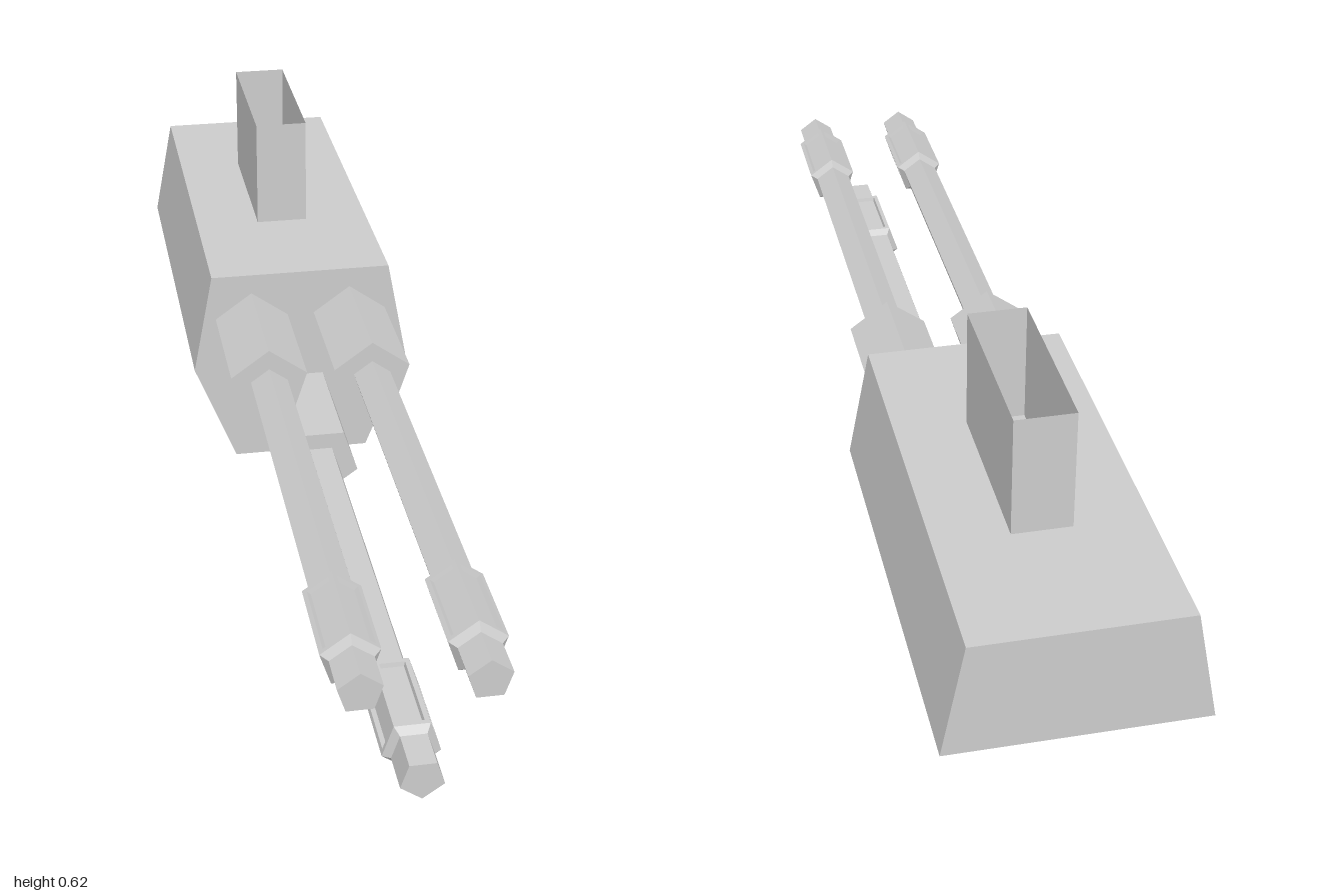
import * as THREE from 'three';
import { ConvexGeometry } from 'three/addons/geometries/ConvexGeometry.js';

const material = new THREE.MeshStandardMaterial({ color: 0xcccccc, flatShading: true });
const openMaterial = new THREE.MeshStandardMaterial({ color: 0xcccccc, flatShading: true, side: THREE.DoubleSide });

function part(name, geometry, mat = material) {
  const mesh = new THREE.Mesh(geometry, mat);
  mesh.name = name;
  return mesh;
}

// Five-sided bar along z with a corner pointing up
function pentagonBar(radius, back, front) {
  return new THREE.CylinderGeometry(radius, radius, front - back, 5)
    .rotateX(Math.PI / 2).rotateZ(Math.PI).translate(0, 0, (back + front) / 2);
}

// Five-sided sleeve with chamfered ends and a sunken panel in every side
function sleeveGeometry(radius, endRadius, back, front) {
  const chamfer = 0.012, margin = 0.008, sunk = 0.008, slope = 0.002;
  const half = radius * Math.sin(Math.PI / 5), apothem = radius * Math.cos(Math.PI / 5);
  const endHalf = endRadius * Math.sin(Math.PI / 5), endApothem = endRadius * Math.cos(Math.PI / 5);
  const positions = [];
  // Rectangle loop on a side that faces +y, counter-clockwise seen from outside
  const loop = (w, y, z0, z1) => [[-w, y, z1], [w, y, z1], [w, y, z0], [-w, y, z0]];
  const quad = (a, b, c, d) => [a, b, c, a, c, d];
  const z0 = back + chamfer, z1 = front - chamfer, inset = margin + slope;
  const loops = [
    loop(endHalf, endApothem, back, front),
    loop(half, apothem, z0, z1),
    loop(half - margin, apothem, z0 + margin, z1 - margin),
    loop(half - inset, apothem - sunk, z0 + inset, z1 - inset),
  ];
  const corners = [];
  for (let k = 0; k < 3; k++) {
    for (let i = 0; i < 4; i++) {
      // Between the end loop and the side there are chamfers only at the two ends
      if (k === 0 && i % 2 === 1) continue;
      const j = (i + 1) % 4;
      corners.push(...quad(loops[k][i], loops[k][j], loops[k + 1][j], loops[k + 1][i]));
    }
  }
  corners.push(...quad(...loops[3]));
  for (let s = 0; s < 5; s++) {
    const angle = Math.PI / 5 + s * Math.PI * 2 / 5;
    for (const c of corners) {
      positions.push(...new THREE.Vector3(...c).applyAxisAngle(new THREE.Vector3(0, 0, 1), angle).toArray());
    }
  }
  const geometry = new THREE.BufferGeometry();
  geometry.setAttribute('position', new THREE.Float32BufferAttribute(positions, 3));
  geometry.computeVertexNormals();
  return geometry;
}

function createBarrel(name) {
  const barrel = new THREE.Group();
  barrel.name = name;
  barrel.add(
    part('barrelCollar', pentagonBar(0.0763, -0.18, 0.065)),
    part('barrelTube', pentagonBar(0.037, 0.06, 1)),
    part('muzzleSleeve', sleeveGeometry(0.05, 0.037, 0.74, 0.93)),
  );
  return barrel;
}

export function createModel() {
  const model = new THREE.Group();
  model.name = 'tripleBarrelGun';

  // Housing: wide waist, with the lower rear cut away at a slant
  const points = [];
  for (const [halfWidth, y, rear] of [[0.178, 0.41, -1], [0.217, 0.205, -1], [0.136, 0, -0.78]]) {
    for (const side of [-1, 1]) {
      for (const z of [-0.18, rear]) points.push(new THREE.Vector3(side * halfWidth, y, z));
    }
  }
  model.add(part('housing', new ConvexGeometry(points)));

  // Open-topped feed chute
  const chute = new THREE.CylinderGeometry(Math.SQRT1_2, Math.SQRT1_2, 1, 4, 1, true, Math.PI / 4)
    .scale(0.102, 0.215, 0.322).translate(0, 0.5175, -0.59);
  model.add(part('feedChute', chute, openMaterial));

  // Two upper barrels, and a lower one turned upside down
  for (const side of [-1, 1]) {
    const barrel = createBarrel(side > 0 ? 'upperLeftBarrel' : 'upperRightBarrel');
    barrel.position.set(side * 0.099, 0.294, 0);
    model.add(barrel);
  }
  const lower = createBarrel('lowerBarrel');
  lower.rotation.z = Math.PI;
  lower.position.set(0, 0.1165, 0);
  model.add(lower);

  return model;
}
